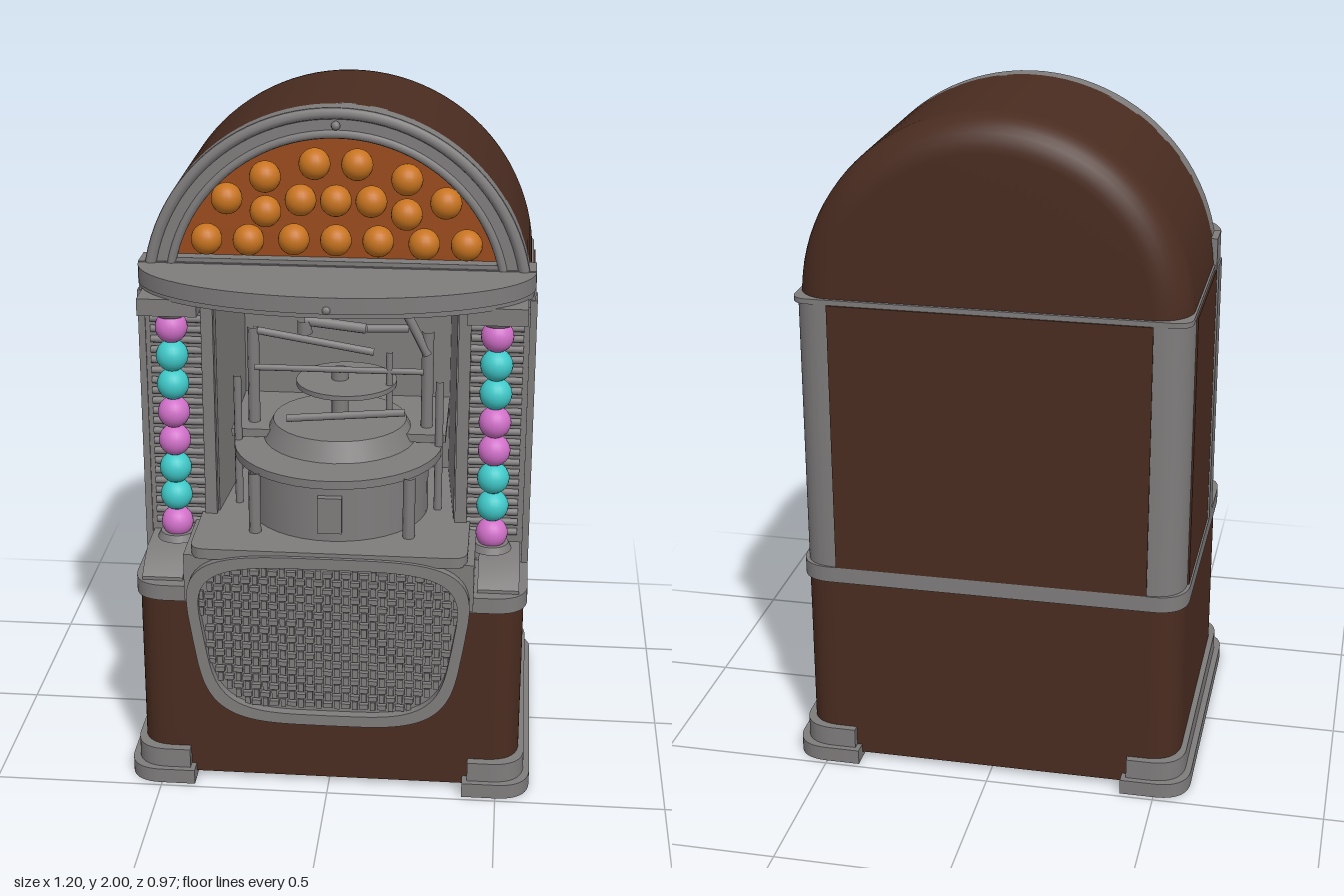
import * as THREE from 'three';
import { mergeGeometries, toCreasedNormals } from 'three/addons/utils/BufferGeometryUtils.js';

const mat = (name, color) => {
  const m = new THREE.MeshStandardMaterial({ color });
  m.name = name;
  return m;
};

export function createModel() {
  const model = new THREE.Group();
  model.name = 'jukebox';
  const wood = mat('brown wood', 0x4a2c20);
  const metal = mat('grey metal', 0x7f7c7c);
  const amber = mat('amber backing', 0x9a4a1c);
  const orange = mat('orange bulbs', 0xc87420);
  const pink = mat('pink bulbs', 0xd070c8);
  const cyan = mat('cyan bulbs', 0x40c8c8);

  const add = (name, geo, m, x = 0, y = 0, z = 0) => {
    const mesh = new THREE.Mesh(geo, m);
    mesh.name = name;
    mesh.position.set(x, y, z);
    model.add(mesh);
    return mesh;
  };
  // box given by its limits
  const box = (x0, x1, y0, y1, z0, z1) =>
    new THREE.BoxGeometry(x1 - x0, y1 - y0, z1 - z0).translate((x0 + x1) / 2, (y0 + y1) / 2, (z0 + z1) / 2);
  const extrude = (shape, depth, opts = {}) =>
    toCreasedNormals(new THREE.ExtrudeGeometry(shape, { depth, bevelEnabled: false, curveSegments: 24, ...opts }), 0.6);
  // horizontal slab from a plan drawn in (x, -z)
  const slab = (shape, y0, y1, opts) => extrude(shape, y1 - y0, opts).rotateX(-Math.PI / 2).translate(0, y0, 0);
  // plate standing upright, facing front
  const plate = (shape, z0, z1) => extrude(shape, z1 - z0).translate(0, 0, z0);
  const roundRect = (w, a, b, r) => {
    const s = new THREE.Shape();
    s.moveTo(-w + r, a).lineTo(w - r, a).quadraticCurveTo(w, a, w, a + r);
    s.lineTo(w, b - r).quadraticCurveTo(w, b, w - r, b);
    s.lineTo(-w + r, b).quadraticCurveTo(-w, b, -w, b - r);
    s.lineTo(-w, a + r).quadraticCurveTo(-w, a, -w + r, a);
    return s;
  };
  const rod = (a, b, r) => {
    const curve = new THREE.LineCurve3(new THREE.Vector3(...a), new THREE.Vector3(...b));
    return new THREE.TubeGeometry(curve, 1, r, 8);
  };

  // lower cabinet and waist band
  add('lowerCabinet', slab(roundRect(0.565, -0.44, 0.445, 0.1), 0.02, 0.6), wood);
  add('waistBand', slab(roundRect(0.575, -0.445, 0.452, 0.1), 0.592, 0.64), metal);

  // foot rails that wrap round the corners, in two steps
  const footShape = (o, inner) => {
    const s = new THREE.Shape(), x = 0.6 - o, z = 0.485 - o;
    s.moveTo(inner, -z).lineTo(x - 0.1, -z).quadraticCurveTo(x, -z, x, -z + 0.1);
    s.lineTo(x, z - 0.1).quadraticCurveTo(x, z, x - 0.1, z).lineTo(inner, z);
    s.lineTo(inner, 0.4).lineTo(0.48, 0.4).lineTo(0.52, 0.36).lineTo(0.52, -0.36).lineTo(0.48, -0.4).lineTo(inner, -0.4);
    return s;
  };
  for (const turn of [0, Math.PI]) {
    add('footRailBase', slab(footShape(0, 0.4), 0, 0.045).rotateY(turn), metal);
    add('footRailTop', slab(footShape(0.018, 0.415), 0.045, 0.105).rotateY(turn), metal);
  }

  // middle cabinet: U-shaped shell with open front
  const u = new THREE.Shape();
  u.moveTo(-0.565, -0.19).lineTo(-0.35, -0.19).lineTo(-0.32, 0.2).lineTo(0.32, 0.2).lineTo(0.35, -0.19).lineTo(0.565, -0.19);
  u.lineTo(0.565, 0.345).quadraticCurveTo(0.565, 0.447, 0.465, 0.447);
  u.lineTo(-0.465, 0.447).quadraticCurveTo(-0.565, 0.447, -0.565, 0.345);
  add('middleShell', slab(u, 0.63, 1.455), metal);
  add('middleRoof', slab(roundRect(0.565, -0.19, 0.447, 0.05), 1.45, 1.465), metal);
  add('backPanel', box(-0.46, 0.46, 0.64, 1.45, -0.452, -0.444), wood);
  for (const s of [-1, 1]) {
    add('sidePanel', new THREE.BoxGeometry(0.008, 0.81, 0.46), wood, s * 0.566, 1.045, -0.12);
    add('frontEdgeTrim', new THREE.BoxGeometry(0.02, 0.83, 0.08), metal, s * 0.565, 1.045, 0.155);
  }

  // domed top with rounded back edge
  const profile = [new THREE.Vector2(0.001, -0.437), new THREE.Vector2(0.3, -0.437)];
  for (let i = 0; i <= 8; i++) {
    const a = (i / 8) * Math.PI / 2;
    profile.push(new THREE.Vector2(0.46 + 0.1 * Math.sin(a), -0.337 - 0.1 * Math.cos(a)));
  }
  profile.push(new THREE.Vector2(0.56, 0.13));
  add('dome', new THREE.LatheGeometry(profile, 48, Math.PI / 2, Math.PI).rotateX(Math.PI / 2), wood, 0, 1.44, 0);

  // front arch with raised trims
  const arch = new THREE.Shape();
  arch.absarc(0, 1.44, 0.56, 0, Math.PI);
  const opening = new THREE.Path();
  opening.absarc(0, 1.44, 0.475, 0.25, Math.PI - 0.25);
  arch.holes.push(opening);
  add('arch', plate(arch, 0.12, 0.185), metal);
  for (const [r, t] of [[0.543, 0.017], [0.485, 0.013]])
    add('archTrim', new THREE.TorusGeometry(r, t, 8, 48, Math.PI), metal, 0, 1.44, 0.182);
  const lens = new THREE.Shape();
  lens.absarc(0, 1.44, 0.48, 0.24, Math.PI - 0.24);
  add('archBacking', plate(lens, 0.135, 0.145), amber);
  const bulb = new THREE.SphereGeometry(0.045, 20, 14);
  const halfBulbs = [[0.12, 1.62], [0.25, 1.615], [0.37, 1.615], [0.1, 1.735], [0.2, 1.7], [0.31, 1.735], [0.06, 1.84], [0.2, 1.8]];
  const archBulbs = [[0, 1.62], [0, 1.735], ...halfBulbs, ...halfBulbs.map(([x, y]) => [-x, y])];
  for (const [x, y] of archBulbs) add('archBulb', bulb, orange, x, y, 0.185);
  for (const [y, z] of [[1.95, 0.19], [1.505, 0.47]]) add('stud', new THREE.SphereGeometry(0.013, 10, 8), metal, 0, y, z);

  // curved canopy shelf
  const canopy = (w, d) => {
    const s = new THREE.Shape();
    s.absellipse(0, -0.18, w, d, Math.PI, Math.PI * 2);
    s.lineTo(w, -0.12).lineTo(-w, -0.12);
    return s;
  };
  add('canopyLower', slab(canopy(0.565, 0.27), 1.475, 1.5), metal);
  add('canopy', slab(canopy(0.57, 0.295), 1.495, 1.542), metal);
  add('header', box(-0.57, 0.57, 1.45, 1.545, 0.1, 0.19), metal);

  // bulb columns, ribs, caps and shoulders
  const shoulder = new THREE.Shape([[0.12, 0.62], [0.41, 0.62], [0.41, 0.65], [0.37, 0.68], [0.31, 0.705], [0.12, 0.705]]
    .map(([z, y]) => new THREE.Vector2(-z, y)));
  const shoulderGeo = extrude(shoulder, 0.12, { bevelSize: 0.02, bevelThickness: 0.02, bevelSegments: 3 }).rotateY(Math.PI / 2);
  const order = [pink, cyan, cyan, pink, pink, cyan, cyan, pink];
  for (const s of [-1, 1]) {
    order.forEach((m, i) => add('columnBulb', new THREE.SphereGeometry(0.047, 20, 14), m, s * 0.465, 0.77 + 0.0868 * (7 - i), 0.27));
    const ribs = [];
    for (let i = 0; i < 22; i++)
      ribs.push(new THREE.CylinderGeometry(0.011, 0.011, 0.15, 8).rotateZ(Math.PI / 2).translate(s * 0.465, 0.74 + i * 0.0318, 0.195));
    add('columnRibs', mergeGeometries(ribs), metal);
    add('columnInnerTrim', new THREE.BoxGeometry(0.035, 0.75, 0.04), metal, s * 0.372, 1.08, 0.195);
    add('columnCap', new THREE.BoxGeometry(0.17, 0.05, 0.18), metal, s * 0.465, 1.455, 0.25);
    add('columnCapNeck', new THREE.CylinderGeometry(0.055, 0.04, 0.025, 20), metal, s * 0.465, 1.425, 0.27);
    add('columnSeat', new THREE.CylinderGeometry(0.05, 0.06, 0.02, 20), metal, s * 0.465, 0.732, 0.27);
    add('shoulder', shoulderGeo, metal, s * 0.49 - 0.06, 0, 0);
  }

  // apron under the window, with rounded lip
  add('apron', box(-0.42, 0.42, 0.6, 0.745, -0.2, 0.45), metal);
  add('apronLip', slab(roundRect(0.4, -0.465, 0.2, 0.05), 0.74, 0.772), metal);

  // speaker grille: tapered rounded frame with woven mesh
  const cy = 0.488, taper = 0.11;
  const outline = (w, h) => {
    const pts = [], p = v => Math.sign(v) * Math.sqrt(Math.abs(v));
    for (let i = 0; i < 72; i++) {
      const a = (i / 72) * Math.PI * 2, v = p(Math.sin(a));
      pts.push(new THREE.Vector2(w * p(Math.cos(a)) * (1 + taper * v), cy + h * v));
    }
    return pts;
  };
  const frame = new THREE.Shape(outline(0.395, 0.272));
  frame.holes.push(new THREE.Path(outline(0.362, 0.238)));
  add('grilleFrame', plate(frame, 0.43, 0.477), metal);
  add('grilleBacking', plate(new THREE.Shape(outline(0.37, 0.245)), 0.435, 0.448), metal);
  const weave = [], step = 0.0265;
  for (let i = -15; i <= 15; i++) for (let j = -9; j <= 9; j++) {
    const v = j * step / 0.238, w = i * step / (0.362 * (1 + taper * v));
    if (w ** 4 + v ** 4 > 0.97) continue;
    const across = (i + j) % 2 === 0;
    weave.push(new THREE.BoxGeometry(across ? 0.027 : 0.015, across ? 0.015 : 0.027, 0.016)
      .translate(i * step, cy + j * step, across ? 0.455 : 0.45));
  }
  add('grilleWeave', mergeGeometries(weave), metal);

  // record mechanism inside the window
  add('turntableDrum', new THREE.CylinderGeometry(0.27, 0.27, 0.2, 40), metal, 0, 0.86, 0.11);
  add('turntableRim', new THREE.CylinderGeometry(0.31, 0.31, 0.025, 40), metal, 0, 0.965, 0.11);
  add('recordStack', new THREE.CylinderGeometry(0.2, 0.23, 0.06, 32), metal, 0, 1.005, 0.06);
  add('spindle', new THREE.CylinderGeometry(0.025, 0.025, 0.18, 12), metal, 0, 1.1, 0.06);
  add('record', new THREE.CylinderGeometry(0.15, 0.15, 0.015, 32), metal, 0.02, 1.15, 0.06);
  add('frontLatch', new THREE.BoxGeometry(0.07, 0.11, 0.03), metal, 0, 0.86, 0.385);
  add('mechanismDeck', box(-0.32, 0.32, 0.985, 1.01, -0.2, 0.12), metal);
  const rods = [
    [[-0.1, 1.35, 0.1], [0.08, 1.33, 0.1], 0.016], [[0.08, 1.33, 0.1], [0.2, 1.32, 0.06], 0.012],
    [[0.2, 1.36, 0.06], [0.26, 1.24, 0.06], 0.014], [[-0.1, 1.35, 0.1], [-0.1, 1.31, 0.1], 0.022],
    [[-0.26, 1.3, 0.05], [0.1, 1.24, 0.05], 0.012], [[-0.25, 1.2, 0.1], [0.25, 1.2, 0.1], 0.01],
    [[-0.15, 1.06, 0.15], [0.2, 1.09, 0.15], 0.012], [[0.15, 1.06, 0.1], [0.15, 1.26, 0.1], 0.01],
  ];
  for (const s of [-1, 1]) {
    rods.push([[s * 0.225, 0.76, 0.33], [s * 0.225, 0.96, 0.33], 0.018]);
    rods.push([[s * 0.26, 0.98, 0.05], [s * 0.26, 1.31, 0.05], 0.018]);
    rods.push([[s * 0.3, 0.76, 0.12], [s * 0.3, 1.18, 0.12], 0.012]);
  }
  add('mechanismRods', mergeGeometries(rods.map(r => rod(...r))), metal);
  return model;
}
